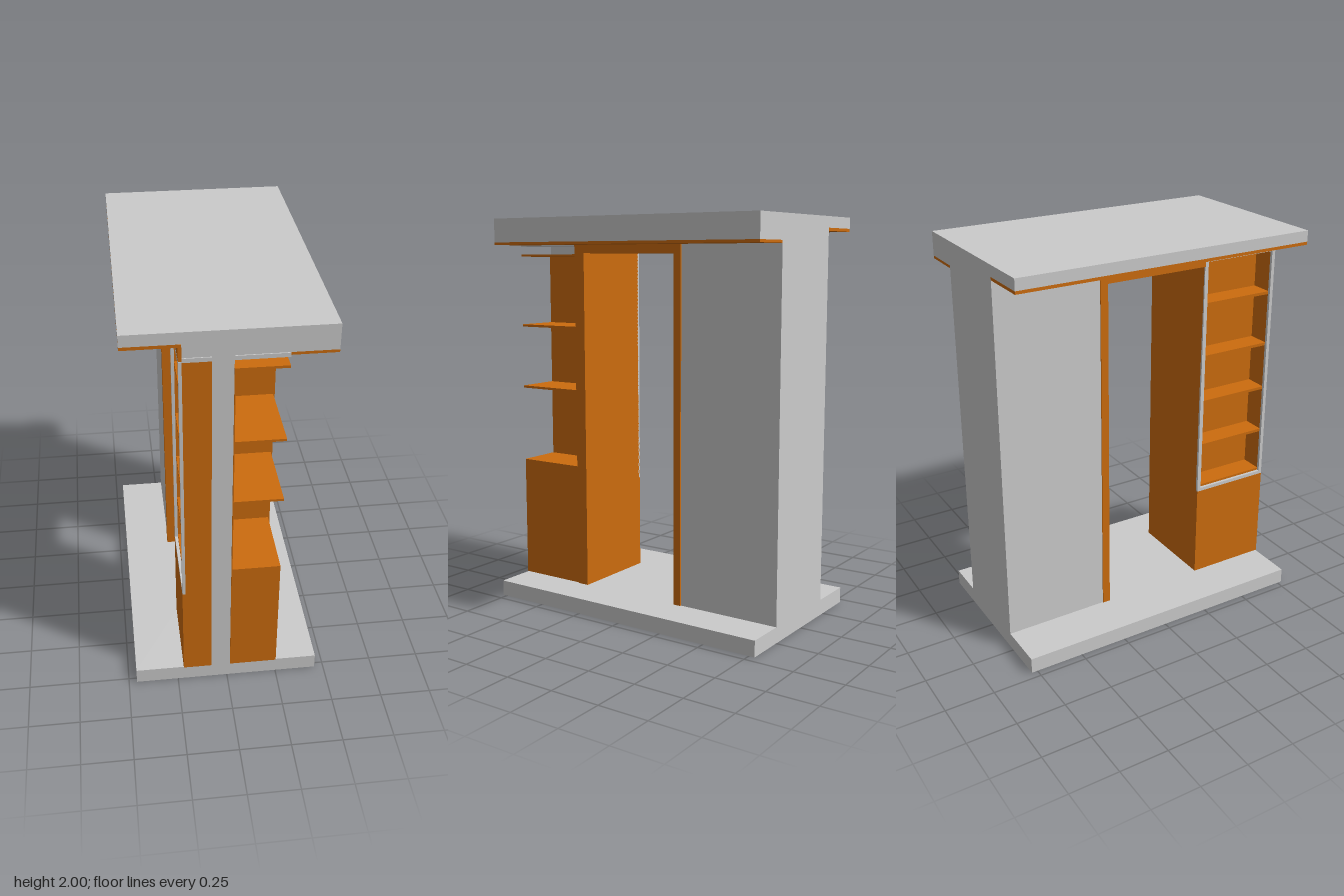
import * as THREE from 'three';

export function createModel() {
  const model = new THREE.Group();
  const grey = new THREE.MeshStandardMaterial({ color: 0xcccccc });
  const wood = new THREE.MeshStandardMaterial({ color: 0xcc6c0e });

  // Box given by its extents along each axis
  const box = (name, mat, [x0, x1], [y0, y1], [z0, z1], parent = model) => {
    const mesh = new THREE.Mesh(new THREE.BoxGeometry(x1 - x0, y1 - y0, z1 - z0), mat);
    mesh.position.set((x0 + x1) / 2, (y0 + y1) / 2, (z0 + z1) / 2);
    mesh.name = name;
    parent.add(mesh);
    return mesh;
  };
  const group = (name) => {
    const g = new THREE.Group();
    g.name = name;
    model.add(g);
    return g;
  };

  const Z = [-0.78, 0.775]; // slab depth
  const front = 0.78;

  // Floor and stepped ceiling slab
  box('floorSlab', grey, [-0.46, 0.455], [0, 0.08], Z);
  const profile = new THREE.Shape([
    [-0.46, 1.945], [-0.205, 1.945], [-0.205, 1.88], [0.455, 1.88], [0.455, 2], [-0.46, 2],
  ].map(([x, y]) => new THREE.Vector2(x, y)));
  const slab = new THREE.Mesh(
    new THREE.ExtrudeGeometry(profile, { depth: Z[1] - Z[0], bevelEnabled: false }), grey);
  slab.position.z = Z[0];
  slab.name = 'ceilingSlab';
  model.add(slab);

  // Wooden ceiling linings under the two overhangs
  box('leftCeilingLining', wood, [0.25, 0.455], [1.867, 1.88], Z);
  box('rightCeilingLining', wood, [-0.46, -0.22], [1.93, 1.945], Z);

  // Thick rear wall and thin front wall
  box('rearWall', grey, [-0.22, 0.25], [0.08, 1.88], [-0.78, -0.24]);
  box('rearWallTop', grey, [-0.22, -0.205], [1.88, 1.945], [-0.78, -0.24]);
  box('frontWall', grey, [-0.08, 0.015], [0.08, 1.88], [0.4, 0.775]);

  // Lining of the doorway
  const door = group('doorway');
  box('rearJamb', wood, [-0.225, 0.258], [0.08, 1.867], [-0.24, -0.2], door);
  box('header', wood, [-0.225, 0.258], [1.825, 1.867], [-0.2, 0.35], door);
  box('headerFill', wood, [-0.22, 0.25], [1.867, 1.88], [-0.24, 0.41], door);
  box('headerTop', wood, [-0.22, -0.205], [1.867, 1.945], [-0.24, front], door);
  box('frontJambLeft', wood, [-0.08, 0.258], [0.08, 1.867], [0.35, 0.41], door);
  box('frontJambRight', wood, [-0.215, -0.08], [0.08, 1.867], [0.35, 0.367], door);

  // Open shelves over a closed cabinet on the left side of the front wall
  const open = group('openShelves');
  box('cabinet', wood, [0.015, 0.25], [0.08, 0.715], [0.41, front], open);
  box('backPanel', wood, [0.015, 0.02], [0.715, 1.82], [0.41, front], open);
  for (const y of [1.12, 1.45, 1.82])
    box('shelf', wood, [0.015, 0.25], [y - 0.012, y], [0.41, front], open);
  box('topPlate', grey, [0.015, 0.25], [1.86, 1.88], [0.41, front], open);

  // Framed niche facing the right side
  const niche = group('shelfNiche');
  box('lowerCabinet', wood, [-0.22, -0.08], [0.08, 0.58], [0.35, front], niche);
  box('backPanel', wood, [-0.088, -0.08], [0.58, 1.86], [0.36, front], niche);
  box('frontPanel', wood, [-0.205, -0.08], [0.58, 1.86], [0.765, front], niche);
  box('topPlate', grey, [-0.205, -0.08], [1.86, 1.88], [0.36, front], niche);
  for (const y of [0.61, 0.85, 1.1, 1.35, 1.63])
    box('shelf', wood, [-0.205, -0.088], [y - 0.015, y], [0.367, 0.765], niche);

  // Grey frame around the niche
  const fx = [-0.22, -0.205];
  box('frameRear', grey, fx, [0.58, 1.865], [0.35, 0.37], niche);
  box('frameFront', grey, fx, [0.58, 1.865], [0.762, front], niche);
  box('frameBottom', grey, fx, [0.58, 0.598], [0.37, 0.762], niche);
  box('frameTop', grey, fx, [1.845, 1.865], [0.37, 0.762], niche);

  return model;
}
